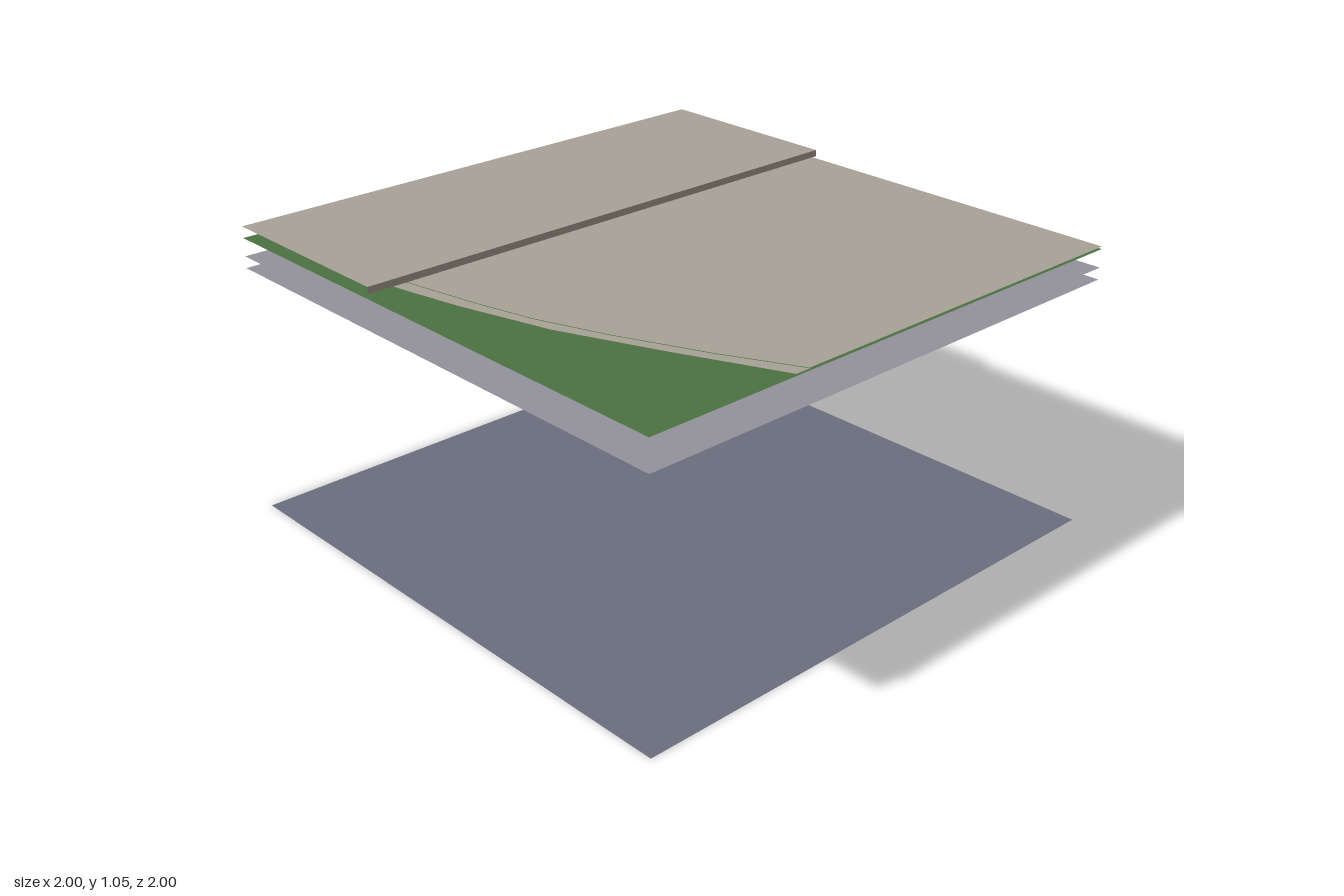
import * as THREE from 'three';

const flat = (name, color) =>
  new THREE.MeshStandardMaterial({ name, color, side: THREE.DoubleSide });

export function createModel() {
  const group = new THREE.Group();
  const stone = flat('stone', 0xaaa297);
  const grass = flat('grass', 0x4c7343);
  const concrete = flat('concrete', 0x94939d);
  const base = flat('slate', 0x6a6e7e);

  const add = (name, geometry, material) => {
    const mesh = new THREE.Mesh(geometry, material);
    mesh.name = name;
    group.add(mesh);
  };

  // Horizontal sheet spanning the full width between two depths
  const sheet = (name, y, material, z0 = -1, z1 = 1) =>
    add(name, new THREE.PlaneGeometry(2, z1 - z0).rotateX(-Math.PI / 2)
      .translate(0, y, (z0 + z1) / 2), material);

  // Horizontal sheet with an outline given as [x, z]
  const outline = (name, y, points, material) => {
    const shape = new THREE.Shape(points.map(([x, z]) => new THREE.Vector2(x, -z)));
    add(name, new THREE.ShapeGeometry(shape).rotateX(-Math.PI / 2).translate(0, y, 0), material);
  };

  // Stacked underlying layers
  sheet('basePlane', 0, base);
  sheet('lowerSlab', 0.905, concrete);
  sheet('upperSlab', 0.947, concrete);
  sheet('lawn', 1.012, grass);

  // Paving with a curved border strip along the lawn
  const outer = [[-0.95, -1], [-0.94, -0.6], [-0.89, -0.27], [-0.84, -0.03],
    [-0.75, 0.3], [-0.61, 0.64], [-0.45, 1]];
  const inner = [[-0.9, -1], [-0.89, -0.6], [-0.84, -0.27], [-0.79, -0.01],
    [-0.74, 0.2], [-0.65, 0.45], [-0.52, 0.75], [-0.395, 1]];
  outline('pavingBorder', 1.019, [...outer, ...[...inner].reverse()], stone);
  outline('paving', 1.021, [...inner, [1, 1], [1, -1]], stone);

  // Raised terrace at the back with its front riser
  sheet('terrace', 1.053, stone, -1, -0.27);
  add('terraceRiser', new THREE.PlaneGeometry(2, 0.024).translate(0, 1.041, -0.27), stone);

  return group;
}
